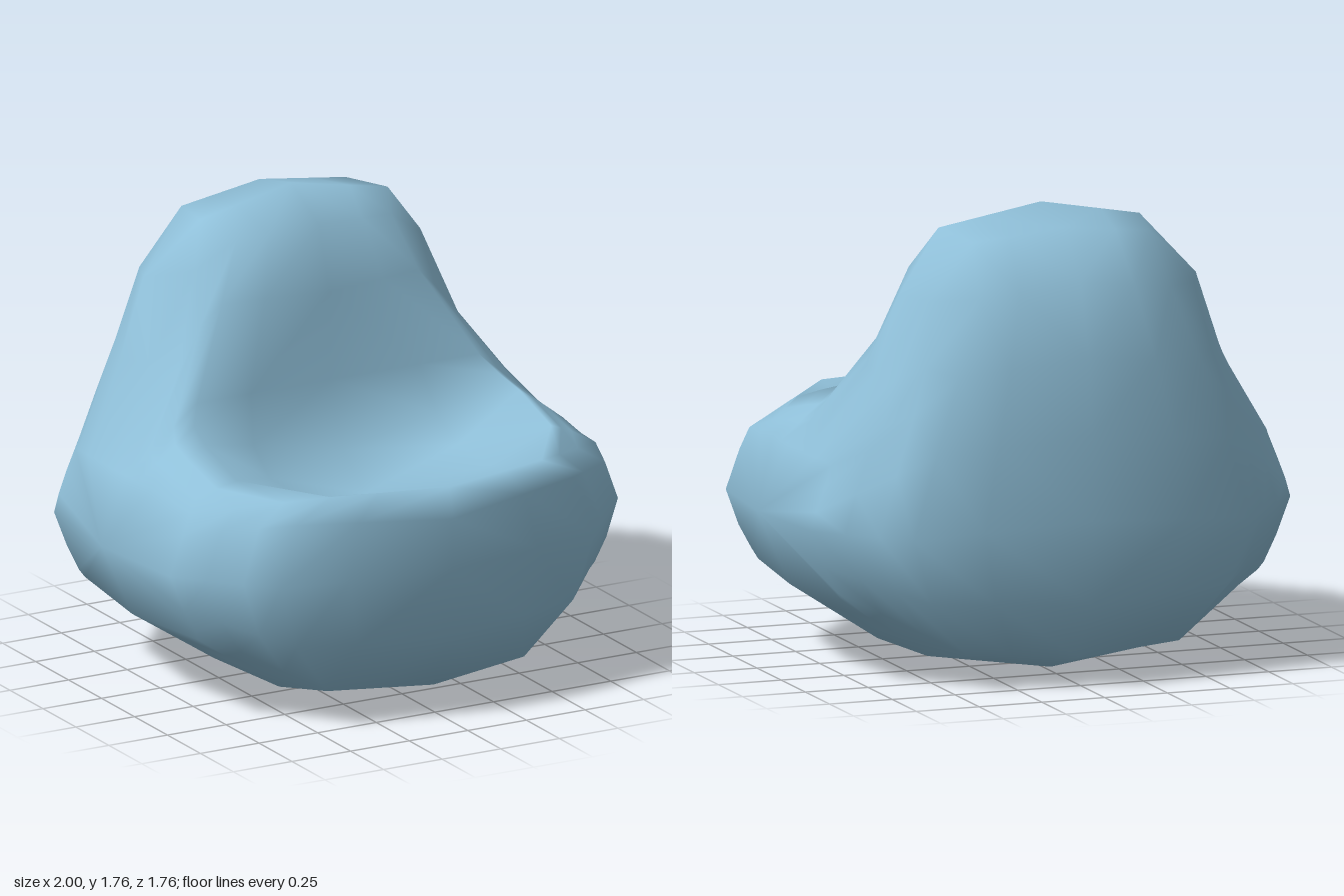
import * as THREE from 'three';

// Centre profile [y, z]: base, front, lip, seat, backrest front, top, back
const centre = [
  [0.005, 0], [0.02, 0.44], [0.11, 0.74], [0.33, 0.865], [0.6, 0.885], [0.8, 0.885],
  [0.92, 0.865], [0.75, 0.5], [0.71, 0.22], [0.83, 0.05], [1.08, -0.04], [1.42, -0.05],
  [1.66, -0.13], [1.765, -0.34], [1.71, -0.58], [1.53, -0.75], [1.26, -0.84],
  [0.97, -0.872], [0.65, -0.88], [0.33, -0.865], [0.11, -0.74], [0.02, -0.44],
].map(([y, z]) => [0, y, z]);

// Edge loop [x, y, z] along the corners, arm tops and backrest sides
const edge = [
  [0.52, 0.085, 0], [0.49, 0.095, 0.44], [0.42, 0.135, 0.68], [0.59, 0.35, 0.75], [0.67, 0.6, 0.77],
  [0.59, 0.83, 0.75], [0.45, 0.922, 0.76], [0.67, 0.93, 0.44], [0.67, 1.0, 0.2],
  [0.65, 1.035, 0.08], [0.6, 1.1, 0.015], [0.42, 1.42, -0.12], [0.33, 1.64, -0.17],
  [0.4, 1.69, -0.32], [0.35, 1.67, -0.55], [0.38, 1.48, -0.695], [0.48, 1.2, -0.745],
  [0.58, 0.91, -0.77], [0.67, 0.6, -0.77], [0.59, 0.35, -0.75], [0.42, 0.135, -0.68], [0.49, 0.095, -0.44],
];

// Flank loop [x, y, z] around the bulging side
const flank = [
  [0.87, 0.315, 0], [0.83, 0.33, 0.43], [0.85, 0.37, 0.45], [0.9, 0.46, 0.45], [0.955, 0.6, 0.44],
  [0.9, 0.75, 0.44], [0.865, 0.83, 0.43], [0.865, 0.835, 0.32], [0.875, 0.85, 0.16],
  [0.88, 0.85, 0.06], [0.885, 0.85, -0.02], [0.885, 0.85, -0.1], [0.885, 0.85, -0.2],
  [0.885, 0.85, -0.31], [0.88, 0.85, -0.39], [0.87, 0.84, -0.43], [0.9, 0.76, -0.44],
  [0.935, 0.67, -0.44], [0.955, 0.6, -0.44], [0.9, 0.46, -0.44], [0.85, 0.36, -0.44], [0.83, 0.33, -0.43],
];

// Rounded backrest sides: upper and lower point [x, y, z] for each of these rows
const backrestSide = {
  11: [[0.5, 1.34, -0.14], [0.61, 1.17, -0.12]],
  12: [[0.48, 1.53, -0.22], [0.66, 1.18, -0.25]],
  13: [[0.59, 1.47, -0.41], [0.69, 1.17, -0.41]],
  14: [[0.53, 1.46, -0.55], [0.66, 1.16, -0.53]],
  15: [[0.57, 1.22, -0.62], [0.71, 1.0, -0.56]],
};

const mix = (a, b, t) => a.map((v, i) => v + (b[i] - v) * t);

// Upper (0) or lower (1) loop between edge and flank
const sideLoop = (step) => edge.map((p, k) => backrestSide[k]?.[step] ?? mix(p, flank[k], (step + 1) / 3));

function bagGeometry() {
  // Between centre and edge, the seat rows stay low to form the hollow
  const hollow = centre.map((p, k) => {
    const q = mix(p, edge[k], 0.6);
    if (k >= 7 && k <= 9) q[1] = p[1] + (edge[k][1] - p[1]) * 0.42;
    return q;
  });
  const half = [hollow, edge, sideLoop(0), sideLoop(1), flank];
  const mirrored = half.map((loop) => loop.map(([x, y, z]) => [-x, y, z])).reverse();
  const loops = [...mirrored, centre, ...half];

  const n = centre.length;
  const last = loops.length - 1;
  const points = [...loops.flat(), [1, 0.6, 0], [-1, 0.6, 0]];
  const rightPole = points.length - 1;
  const leftPole = rightPole - 1;
  const index = [];
  for (let k = 0; k < n; k++) {
    const m = (k + 1) % n;
    for (let i = 0; i < last; i++) {
      const a = i * n + k, b = (i + 1) * n + k, c = (i + 1) * n + m, d = i * n + m;
      // Mirror the diagonal so both halves match
      if (i < last / 2) index.push(a, b, c, a, c, d);
      else index.push(a, b, d, b, c, d);
    }
    index.push(rightPole, k, m);
    index.push(leftPole, last * n + m, last * n + k);
  }
  const geometry = new THREE.BufferGeometry();
  geometry.setAttribute('position', new THREE.Float32BufferAttribute(points.flat(), 3));
  geometry.setIndex(index);
  geometry.computeVertexNormals();
  return geometry;
}

export function createModel() {
  const fabric = new THREE.MeshStandardMaterial({ color: 0x8fbfd8 });
  fabric.name = 'light blue fabric';
  const bag = new THREE.Mesh(bagGeometry(), fabric);
  bag.name = 'beanBagSeat';
  const model = new THREE.Group();
  model.name = 'beanBagChair';
  model.add(bag);
  return model;
}
